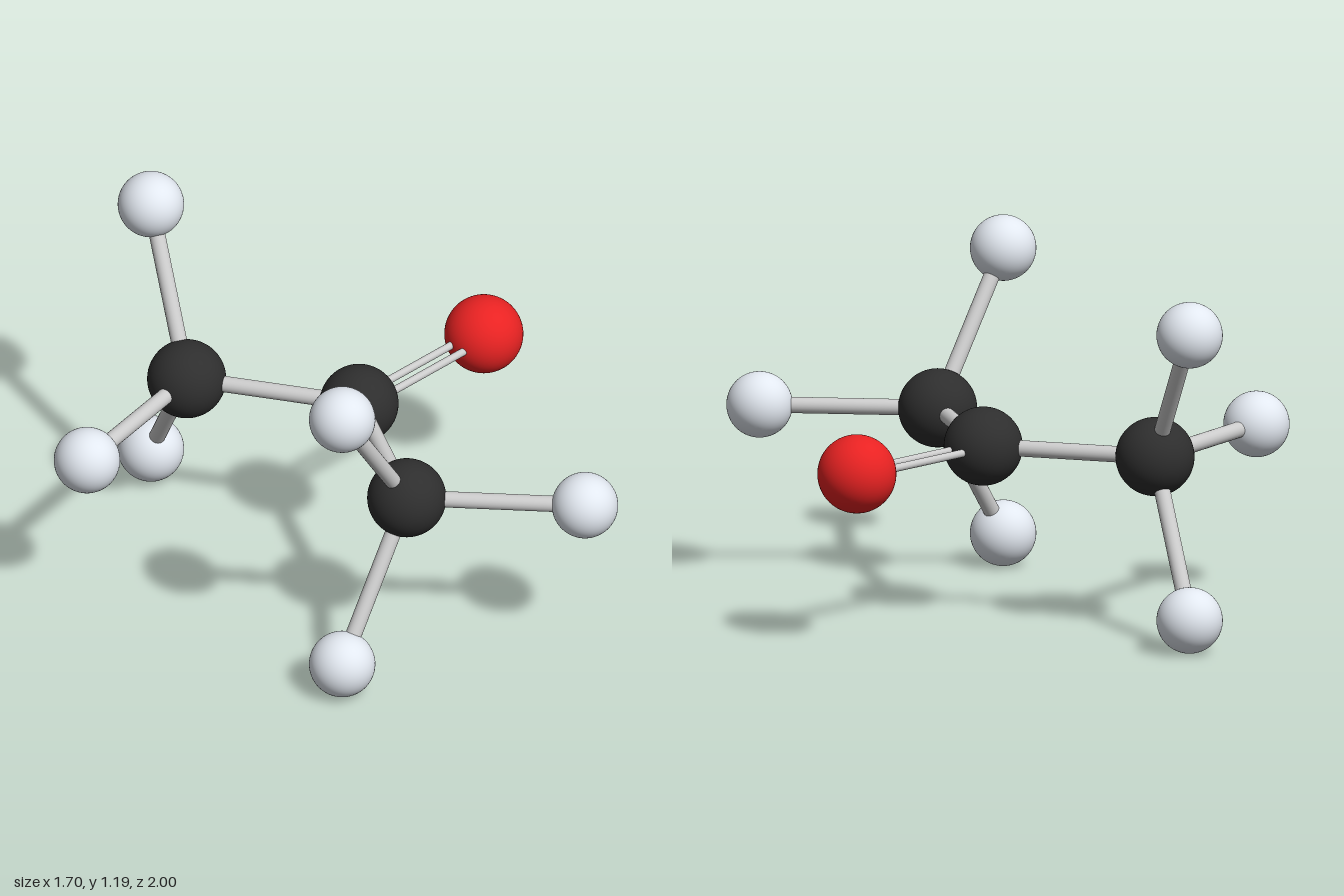
import * as THREE from 'three';

const material = (color) => new THREE.MeshStandardMaterial({ color });

export function createModel() {
  const model = new THREE.Group();
  const MID = 0.597; // height of the molecule's plane of symmetry
  const RISE = 0.484; // how far the paired hydrogens sit above and below it

  const kinds = {
    carbon: { radius: 0.131, material: material(0x2e2e2e) },
    oxygen: { radius: 0.131, material: material(0xe82222) },
    hydrogen: { radius: 0.11, material: material(0xe2e8f0) },
  };
  const bondMaterial = material(0xcccccc);

  // Ball for one atom; returns its centre
  function atom(kind, name, x, y, z) {
    const { radius, material } = kinds[kind];
    const ball = new THREE.Mesh(new THREE.SphereGeometry(radius, 48, 32), material);
    ball.name = name;
    ball.position.set(x, y, z);
    model.add(ball);
    return ball.position;
  }

  // Rod running between two atom centres, optionally shifted in z
  function bond(name, a, b, radius = 0.027, shift = 0) {
    const rod = new THREE.Mesh(
      new THREE.CylinderGeometry(radius, radius, a.distanceTo(b), 24), bondMaterial);
    rod.name = name;
    rod.position.copy(a).add(b).multiplyScalar(0.5);
    rod.position.z += shift;
    rod.quaternion.setFromUnitVectors(
      new THREE.Vector3(0, 1, 0), b.clone().sub(a).normalize());
    model.add(rod);
  }

  // Central carbon with its double-bonded oxygen
  const centre = atom('carbon', 'centreCarbon', 0.128, MID, -0.073);
  const oxygen = atom('oxygen', 'oxygen', 0.717, MID, -0.073);
  for (const side of [-1, 1]) bond('doubleBond', centre, oxygen, 0.013, side * 0.028);

  // End groups: a carbon, one hydrogen in the plane and a pair above and below
  const ends = [
    { name: 'front', carbon: [-0.166, 0.438], flat: [0.216, 0.89], pair: [-0.505, 0.472] },
    { name: 'back', carbon: [-0.166, -0.584], flat: [-0.747, -0.475], pair: [-0.024, -0.89] },
  ];
  for (const { name, carbon, flat, pair } of ends) {
    const hub = atom('carbon', name + 'Carbon', carbon[0], MID, carbon[1]);
    bond(name + 'CarbonBond', centre, hub);
    for (const [[x, z], dy] of [[flat, 0], [pair, RISE], [pair, -RISE]]) {
      const hydrogen = atom('hydrogen', name + 'Hydrogen', x, MID + dy, z);
      bond(name + 'HydrogenBond', hub, hydrogen);
    }
  }
  return model;
}
